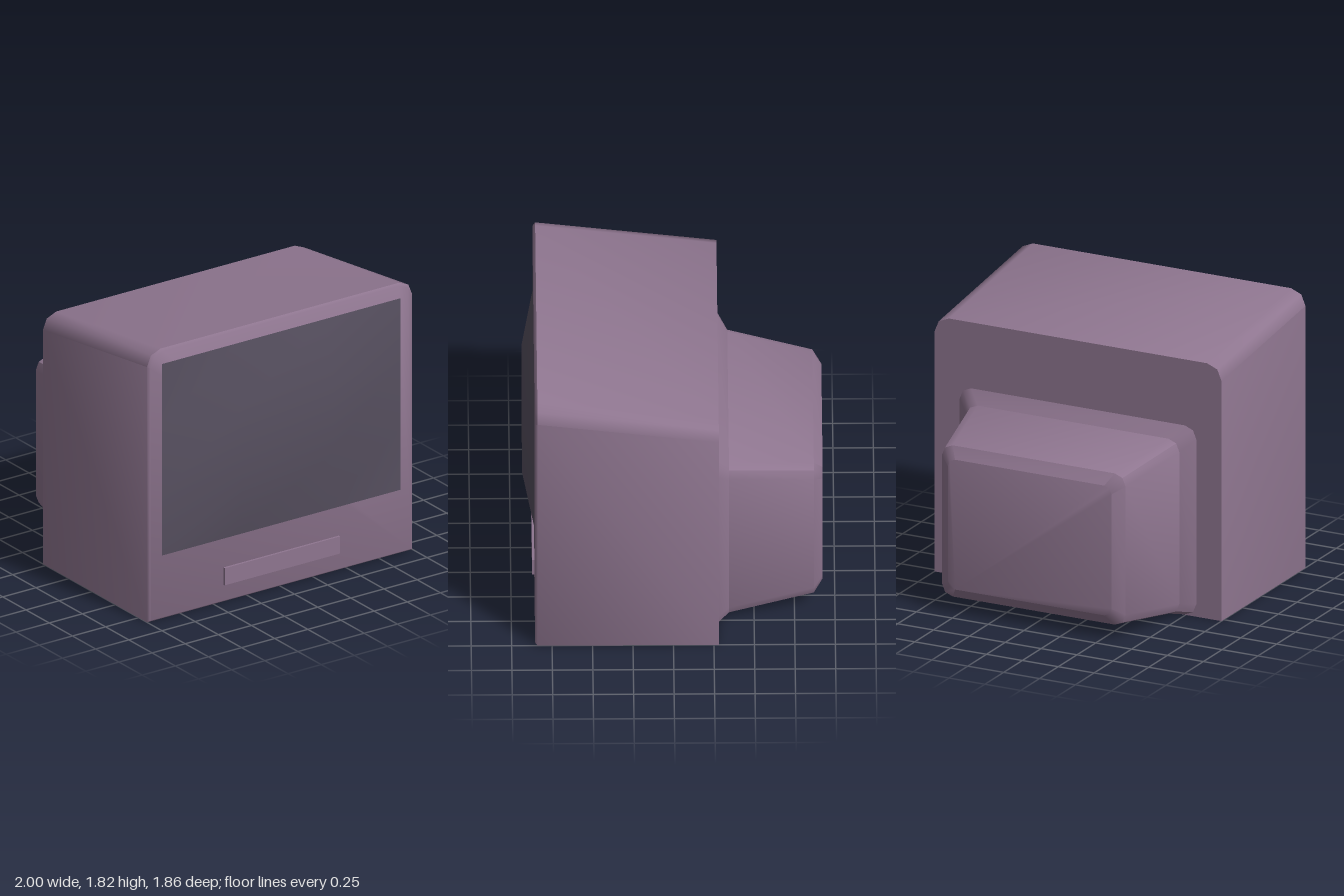
import * as THREE from 'three';
import { toCreasedNormals } from 'three/addons/utils/BufferGeometryUtils.js';

// Counter-clockwise outline with three-point rounded corners; a zero radius stays square
function outline(halfWidth, bottom, top, rTop, rBottom) {
  const pts = [];
  const corners = [
    [halfWidth, bottom, rBottom, -1, 1], [halfWidth, top, rTop, 0, 1],
    [-halfWidth, top, rTop, 1, -1], [-halfWidth, bottom, rBottom, 2, -1],
  ];
  for (const [x, y, r, quarter, sx] of corners) {
    if (r === 0) { pts.push([x, y]); continue; }
    const sy = y === top ? 1 : -1;
    for (let k = 0; k < 3; k++) {
      const a = (quarter + k / 2) * Math.PI / 2;
      pts.push([x - sx * r + r * Math.cos(a), y - sy * r + r * Math.sin(a)]);
    }
  }
  return pts;
}

// Skins outlines running from front to back, and closes both ends
function loft(sections, crease) {
  const pos = [], index = [];
  const n = sections[0].pts.length;
  for (const { z, pts } of sections) for (const [x, y] of pts) pos.push(x, y, z);
  for (let i = 0; i < sections.length - 1; i++) {
    for (let j = 0; j < n; j++) {
      const a = i * n + j, b = i * n + (j + 1) % n, c = a + n, d = b + n;
      index.push(a, c, b, b, c, d);
    }
  }
  const last = (sections.length - 1) * n;
  for (let j = 1; j < n - 1; j++) {
    index.push(0, j, j + 1, last, last + j + 1, last + j);
  }
  const g = new THREE.BufferGeometry();
  g.setAttribute('position', new THREE.Float32BufferAttribute(pos, 3));
  g.setIndex(index);
  return toCreasedNormals(g, crease);
}

export function createModel() {
  const group = new THREE.Group();
  const plastic = new THREE.MeshStandardMaterial({ color: 0x8f7690 });
  plastic.name = 'mauve plastic';
  const glass = new THREE.MeshStandardMaterial({ color: 0x575060 });
  glass.name = 'dark glass';

  const add = (name, geometry, material) => {
    const mesh = new THREE.Mesh(geometry, material);
    mesh.name = name;
    group.add(mesh);
    return mesh;
  };

  // Cabinet with a sloping top and a softened front edge
  add('cabinet', loft([
    { z: 0.855, pts: outline(0.985, 0.013, 1.8, 0.095, 0) },
    { z: 0.84, pts: outline(1, 0, 1.815, 0.1, 0) },
    { z: -0.28, pts: outline(1, 0, 1.672, 0.1, 0) },
  ], 0.9), plastic);

  // Tapered tube housing: flared collar, long taper, bevelled rear
  add('tubeHousing', loft([
    { z: -0.28, pts: outline(0.825, 0.003, 1.24, 0.08, 0.08) },
    { z: -0.345, pts: outline(0.74, 0.015, 1.16, 0.075, 0.075) },
    { z: -0.87, pts: outline(0.64, 0.09, 1.08, 0.075, 0.075) },
    { z: -0.925, pts: outline(0.57, 0.16, 1.01, 0.05, 0.05) },
  ], 0.6), plastic);

  // Bulging screen: a three by three grid with its middle cell pushed forward
  const screen = new THREE.PlaneGeometry(2, 2, 3, 3);
  const p = screen.attributes.position;
  const xs = [-0.9, -0.34, 0.34, 0.9], ys = [1.717, 1.31, 0.84, 0.43];
  for (let i = 0; i < p.count; i++) {
    const col = i % 4, row = Math.floor(i / 4);
    const inner = col % 3 !== 0 && row % 3 !== 0;
    p.setXYZ(i, xs[col], ys[row], inner ? 0.93 : 0.857);
  }
  screen.computeVertexNormals();
  add('screen', screen, glass);

  // Raised control flap below the screen
  add('controlFlap', new THREE.BoxGeometry(0.87, 0.115, 0.03), plastic)
    .position.set(0, 0.178, 0.855);

  return group;
}
